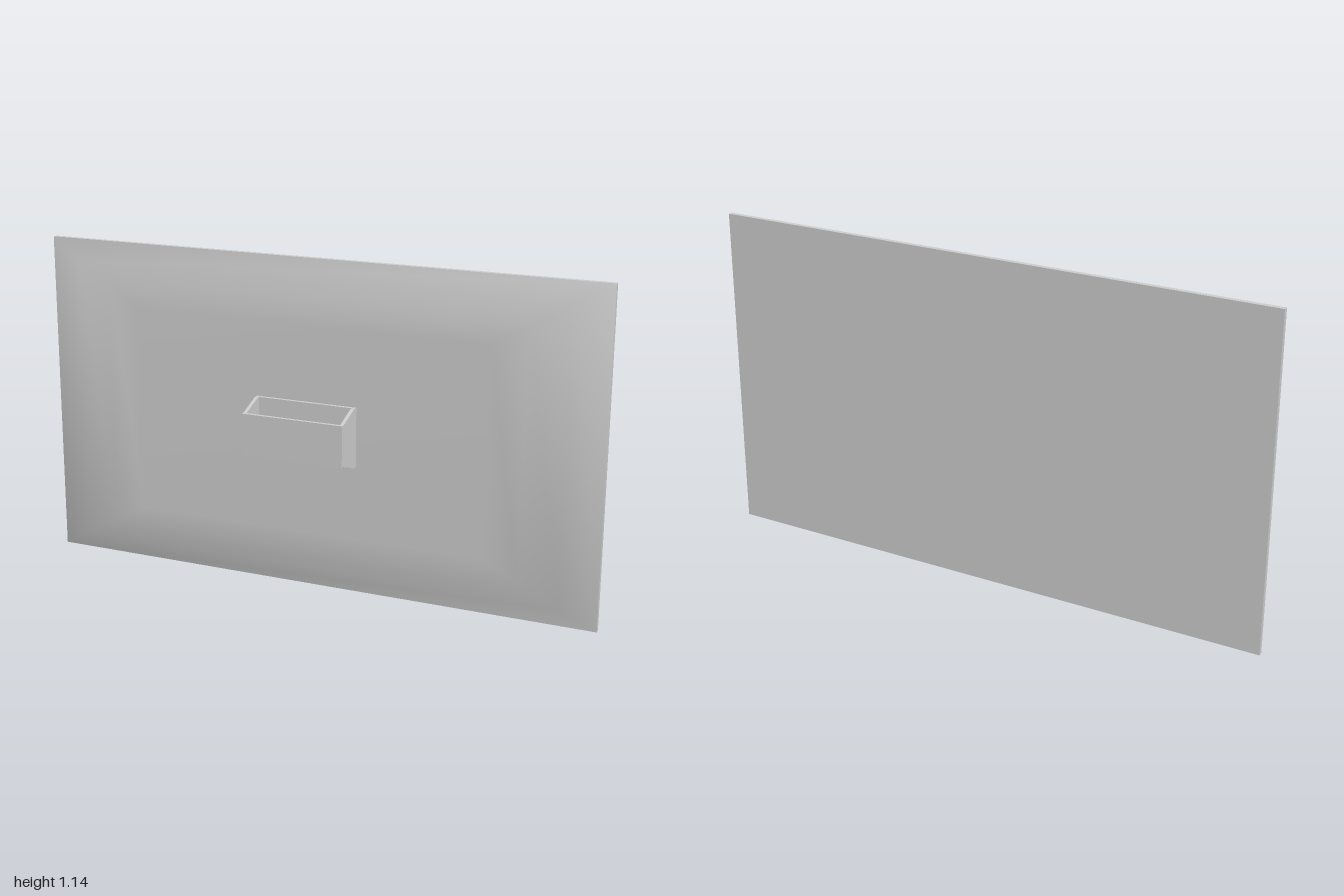
import * as THREE from 'three';

const W = 1, H = 0.5725; // half width and half height of the panel
const material = new THREE.MeshStandardMaterial({ color: 0xcccccc });

function add(group, name, geometry, x = 0, y = 0, z = 0) {
  const mesh = new THREE.Mesh(geometry, material);
  mesh.name = name;
  mesh.position.set(x, y, z);
  group.add(mesh);
  return mesh;
}

// Bulged casing: rectangular rings shrinking towards a flat face
function casingGeometry() {
  const rings = [[1, -0.083], [0.878, -0.051], [0.747, -0.028], [0.63, -0.02]];
  const corners = [[-1, -1], [1, -1], [1, 1], [-1, 1]];
  const positions = [], index = [];
  rings.forEach(([scale, z], r) => {
    corners.forEach(([sx, sy], c) => {
      positions.push(sx * W * scale, sy * H * scale, z);
      if (r === rings.length - 1) return;
      const a = r * 4 + c, b = r * 4 + (c + 1) % 4;
      index.push(a, b, b + 4, a, b + 4, a + 4);
    });
  });
  const f = (rings.length - 1) * 4;
  index.push(f, f + 1, f + 2, f, f + 2, f + 3);
  const geometry = new THREE.BufferGeometry();
  geometry.setAttribute('position', new THREE.Float32BufferAttribute(positions, 3));
  geometry.setIndex(index);
  geometry.computeVertexNormals();
  return geometry;
}

// Tapered side plate, drawn as (-z, y) and extruded along x
function sidePlateGeometry(thickness) {
  const half = [[0.02, 0.102], [0, 0.102], [-0.085, 0.071], [-0.1, 0.071]];
  const outline = [...half, ...half.map(([u, v]) => [u, -v]).reverse()];
  const shape = new THREE.Shape(outline.map(([u, v]) => new THREE.Vector2(u, v)));
  const geometry = new THREE.ExtrudeGeometry(shape, { depth: thickness, bevelEnabled: false });
  geometry.translate(0, 0, -thickness / 2);
  geometry.rotateY(Math.PI / 2);
  return geometry;
}

export function createModel() {
  const model = new THREE.Group();
  model.name = 'wallPanel';

  // Thin flat slab and the bulged casing on it
  add(model, 'screenSlab', new THREE.BoxGeometry(2 * W, 2 * H, 0.017), 0, H, -0.0915);
  add(model, 'casing', casingGeometry(), 0, H, 0);

  // Open-topped bracket loop
  const bracket = new THREE.Group();
  bracket.name = 'bracket';
  bracket.position.y = H;
  model.add(bracket);
  const t = 0.012, half = 0.18, inner = 2 * (half - t);
  add(bracket, 'bracketBack', new THREE.BoxGeometry(inner, 0.204, t), 0, 0, -0.014);
  add(bracket, 'bracketFront', new THREE.BoxGeometry(inner, 0.142, t), 0, 0, 0.1 - t / 2);
  for (const side of [-1, 1]) {
    add(bracket, side > 0 ? 'bracketLeft' : 'bracketRight', sidePlateGeometry(t), side * (half - t / 2));
  }
  return model;
}
